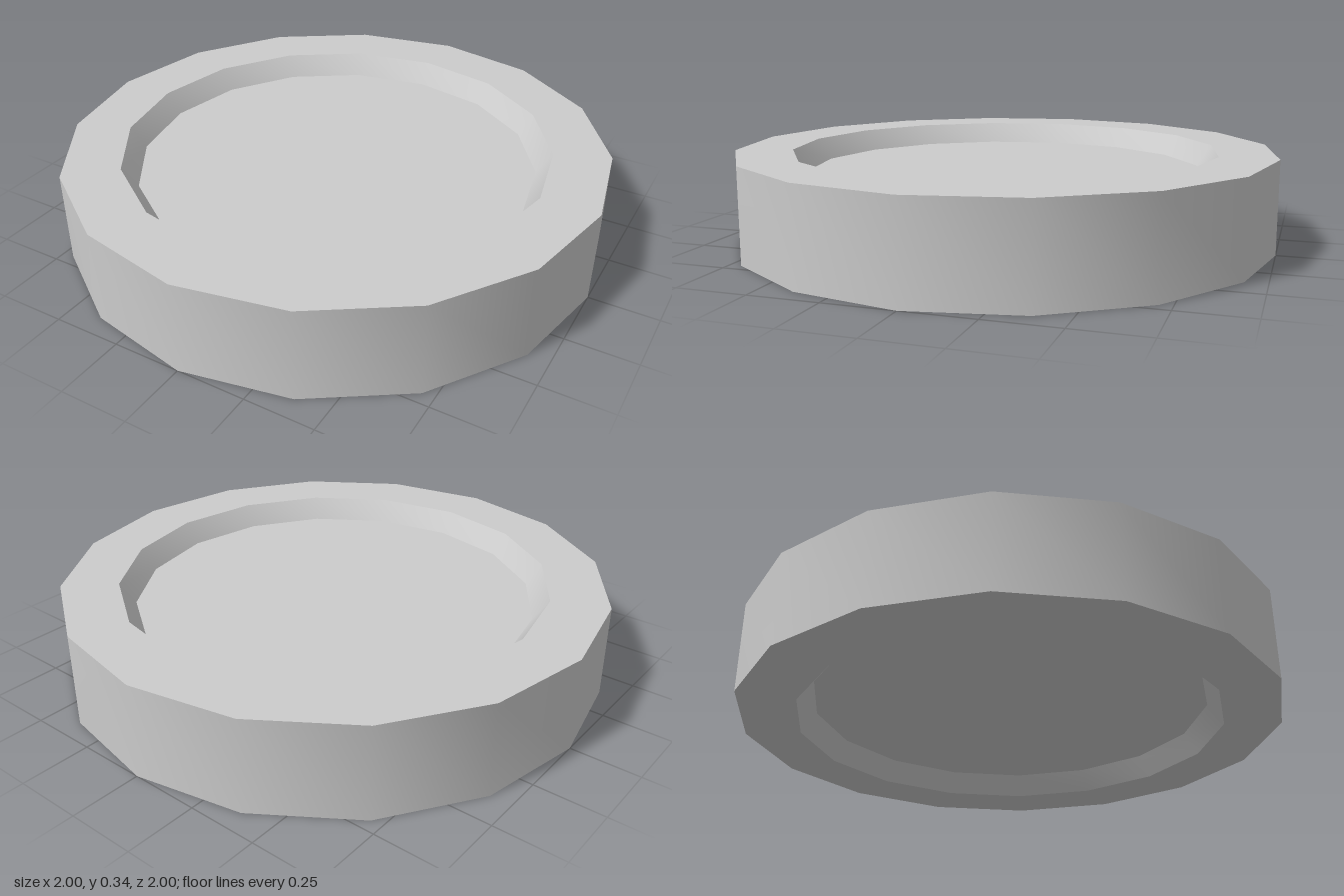
import * as THREE from 'three';
import { toCreasedNormals } from 'three/addons/utils/BufferGeometryUtils.js';

const SIDES = 16;
const HEIGHT = 0.34;
const RIM = 0.79;    // inner radius of the flat rim
const FLOOR = 0.735; // radius of the recessed floor
const DEPTH = 0.078; // depth of each recess

export function createModel() {
  const model = new THREE.Group();
  const material = new THREE.MeshStandardMaterial({ color: 0xcccccc });

  // Outer wall, flat rims and sloping recess walls, mirrored top and bottom
  const profile = [
    [FLOOR, DEPTH], [RIM, 0], [1, 0],
    [1, HEIGHT], [RIM, HEIGHT], [FLOOR, HEIGHT - DEPTH],
  ].map(([r, y]) => new THREE.Vector2(r, y));
  const ring = new THREE.Mesh(
    toCreasedNormals(new THREE.LatheGeometry(profile, SIDES), Math.PI / 6), material);
  ring.name = 'ring';
  model.add(ring);

  // Recessed floors on both faces
  for (const [name, y, tilt] of [
    ['topFloor', HEIGHT - DEPTH, -Math.PI / 2],
    ['bottomFloor', DEPTH, Math.PI / 2],
  ]) {
    const floor = new THREE.Mesh(new THREE.CircleGeometry(FLOOR, SIDES), material);
    floor.name = name;
    floor.position.y = y;
    floor.rotation.x = tilt;
    model.add(floor);
  }
  return model;
}
